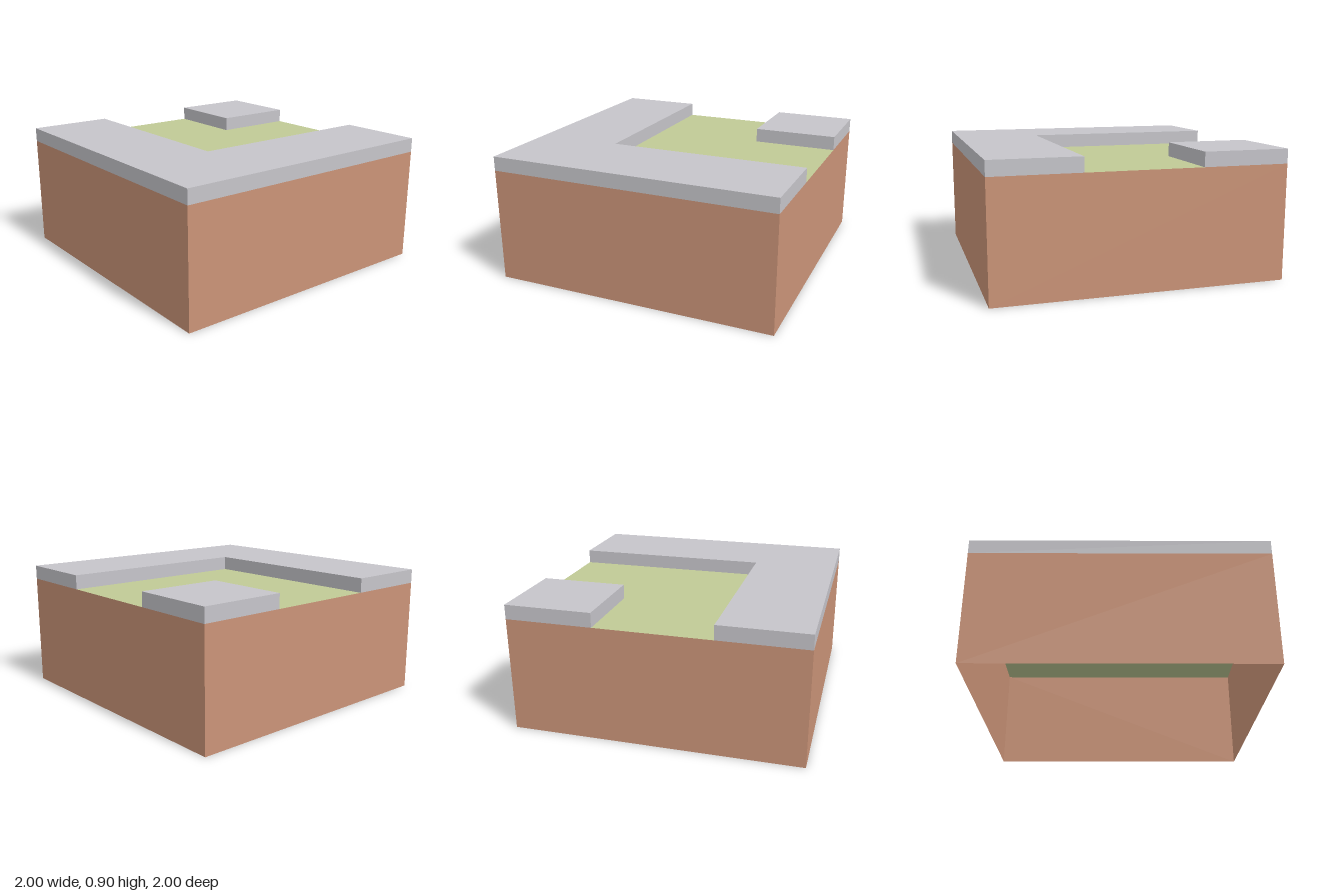
import * as THREE from 'three';

// Outlines are counter-clockwise [x, -z] corners.
const square = [[-1, -1], [1, -1], [1, 1], [-1, 1]];
const lShape = [[-1, -1], [1, -1], [1, 1], [0.4, 1], [0.4, -0.4], [-1, -0.4]];
const corner = [[-1, 0.4], [-0.4, 0.4], [-0.4, 1], [-1, 1]];

// Horizontal face filling an outline at height y
function slab(outline, y) {
  const shape = new THREE.Shape(outline.map(([a, b]) => new THREE.Vector2(a, b)));
  return new THREE.ShapeGeometry(shape).rotateX(-Math.PI / 2).translate(0, y, 0);
}

// Vertical faces along an outline, open at top and bottom
function walls(outline, y0, y1) {
  const pos = [];
  outline.forEach(([a, b], i) => {
    const [c, d] = outline[(i + 1) % outline.length];
    pos.push(a, y0, -b, c, y0, -d, c, y1, -d);
    pos.push(a, y0, -b, c, y1, -d, a, y1, -b);
  });
  const geo = new THREE.BufferGeometry();
  geo.setAttribute('position', new THREE.Float32BufferAttribute(pos, 3));
  geo.computeVertexNormals();
  return geo;
}

export function createModel() {
  const mat = (name, color) =>
    new THREE.MeshStandardMaterial({ name, color, side: THREE.DoubleSide });
  const dirt = mat('dirt', 0xcb9478);
  const grass = mat('grass', 0xc0ca96);
  const stone = mat('stone', 0xc6c5ca);

  const group = new THREE.Group();
  const add = (parent, name, geo, material) => {
    const mesh = new THREE.Mesh(geo, material);
    mesh.name = name;
    parent.add(mesh);
  };

  // Hollow earth block, open underneath, with a grass surface
  add(group, 'dirtWalls', walls(square, 0, 0.8), dirt);
  add(group, 'grassSurface', slab(square, 0.8), grass);

  // Raised paving: an L-shaped border and the opposite corner
  for (const [name, outline] of [['pavingBorder', lShape], ['pavingCorner', corner]]) {
    const paving = new THREE.Group();
    paving.name = name;
    add(paving, name + 'Top', slab(outline, 0.9), stone);
    add(paving, name + 'Sides', walls(outline, 0.8, 0.9), stone);
    group.add(paving);
  }
  return group;
}
